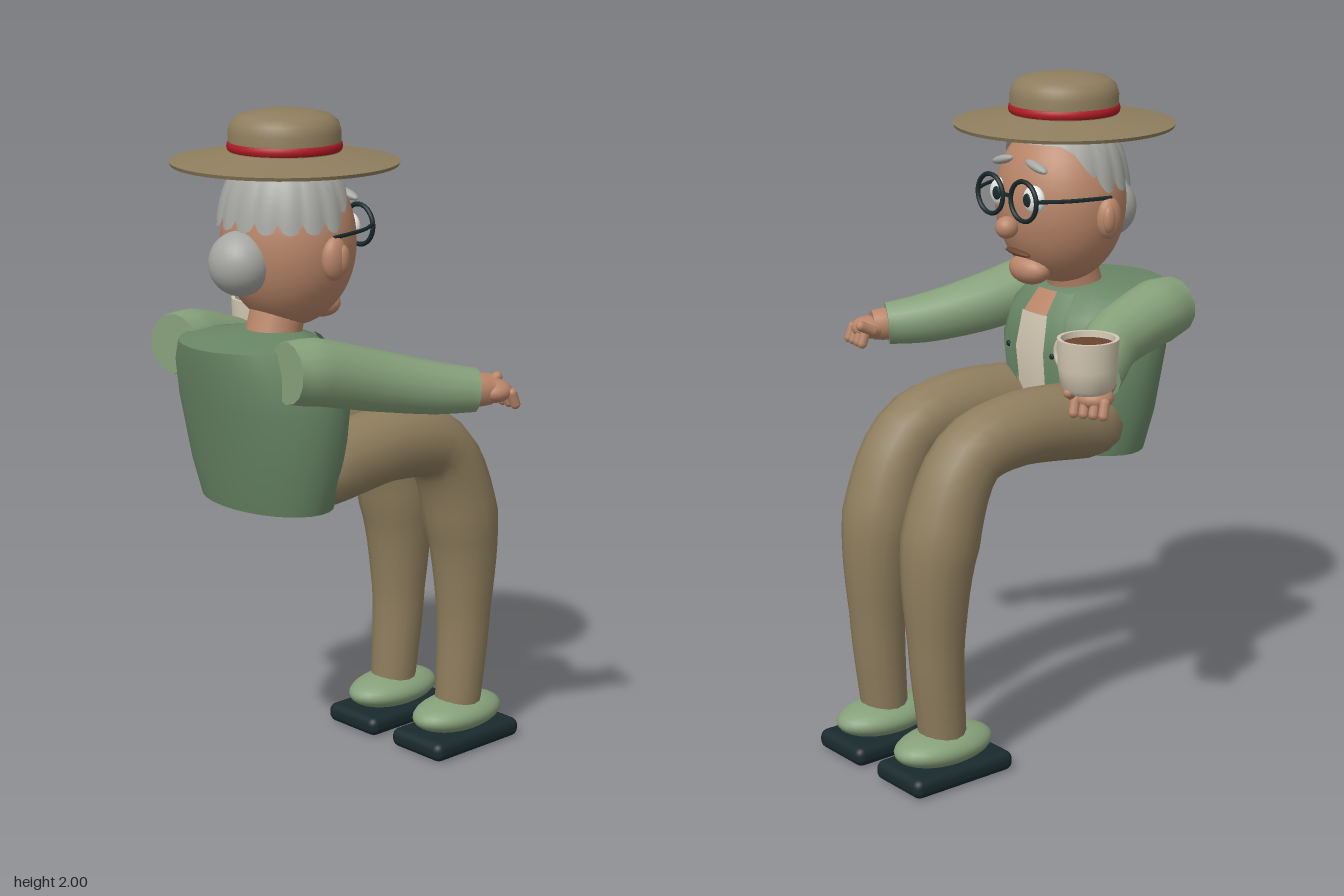
import * as THREE from 'three';
import { toCreasedNormals } from 'three/addons/utils/BufferGeometryUtils.js';
import { RoundedBoxGeometry } from 'three/addons/geometries/RoundedBoxGeometry.js';

const CX = 0.017; // body centre line

function mat(name, color, side = THREE.FrontSide) {
  const m = new THREE.MeshStandardMaterial({ color, side });
  m.name = name;
  return m;
}
const M = {
  tan: mat('tanCloth', 0x8f7e5e),
  sleeve: mat('lightGreen', 0x86a07a),
  jacket: mat('jacketGreen', 0x698766, THREE.DoubleSide),
  skin: mat('skin', 0xb98669),
  hair: mat('greyHair', 0xa6a6a2, THREE.DoubleSide),
  red: mat('redBand', 0xb01c24),
  dark: mat('darkRubber', 0x1a2a2d),
  cream: mat('cream', 0xd2c7b2, THREE.DoubleSide),
  brown: mat('coffeeBrown', 0x6b4530),
  white: mat('eyeWhite', 0xeeeeea),
};

function add(parent, name, geo, material, x = 0, y = 0, z = 0) {
  const m = new THREE.Mesh(geo, material);
  m.name = name;
  m.position.set(x, y, z);
  parent.add(m);
  return m;
}

function ball(parent, name, material, [x, y, z], [rx, ry, rz], seg = 20) {
  const m = add(parent, name, new THREE.SphereGeometry(1, seg, Math.ceil(seg * 0.7)), material, x, y, z);
  m.scale.set(rx, ry, rz);
  return m;
}

// Tapered capped tube through [x, y, z, radius] stations
function limb(pts, n = 26, sides = 14) {
  const curve = new THREE.CatmullRomCurve3(pts.map(p => new THREE.Vector3(p[0], p[1], p[2])));
  const geo = new THREE.TubeGeometry(curve, n, 1, sides);
  const pos = geo.attributes.position, nor = geo.attributes.normal;
  for (let k = 0; k < pos.count; k++) {
    const i = Math.floor(k / (sides + 1));
    const u = THREE.MathUtils.clamp((i - 1) / (n - 2), 0, 1);
    const t = curve.getUtoTmapping(u) * (pts.length - 1);
    const a = Math.min(Math.floor(t), pts.length - 2);
    const r = i === 0 || i === n ? 0 : THREE.MathUtils.lerp(pts[a][3], pts[a + 1][3], t - a);
    const p = curve.getPointAt(u);
    pos.setXYZ(k, p.x + nor.getX(k) * r, p.y + nor.getY(k) * r, p.z + nor.getZ(k) * r);
  }
  return toCreasedNormals(geo, 0.75);
}

// Skin over elliptical rings [y, centreZ, halfWidth, halfDepth] between two angles
function loft(rings, a0, a1, seg, grow = 0) {
  const pos = [], idx = [];
  for (const [y, cz, hw, hd] of rings)
    for (let j = 0; j <= seg; j++) {
      const a = a0 + (a1 - a0) * j / seg;
      pos.push(CX + Math.cos(a) * (hw + grow), y, cz + Math.sin(a) * (hd + grow));
    }
  for (let i = 0; i < rings.length - 1; i++)
    for (let j = 0; j < seg; j++) {
      const a = i * (seg + 1) + j, b = a + seg + 1;
      idx.push(a, b, a + 1, b, b + 1, a + 1);
    }
  const geo = new THREE.BufferGeometry();
  geo.setAttribute('position', new THREE.Float32BufferAttribute(pos, 3));
  geo.setIndex(idx);
  return toCreasedNormals(geo, 0.7);
}

const lathe = (pts, seg = 40) =>
  toCreasedNormals(new THREE.LatheGeometry(pts.map(p => new THREE.Vector2(p[0], p[1])), seg), 0.7);

// Palm with four curled fingers and a thumb; side sets where the thumb sits
function hand(parent, name, x, y, z, turn, side) {
  const g = new THREE.Group();
  g.name = name;
  g.position.set(x, y, z);
  g.rotation.y = turn;
  ball(g, 'palm', M.skin, [0, 0, 0], [0.055, 0.034, 0.055]);
  for (let i = 0; i < 4; i++) {
    const f = add(g, 'finger', new THREE.CapsuleGeometry(0.015, 0.035, 4, 8), M.skin, (i - 1.5) * 0.029, -0.02, -0.04);
    f.rotation.x = 0.35;
  }
  const t = add(g, 'thumb', new THREE.CapsuleGeometry(0.016, 0.045, 4, 8), M.skin, side * 0.055, 0.012, -0.035);
  t.rotation.x = -1.1;
  parent.add(g);
}

export function createModel() {
  const model = new THREE.Group();
  model.name = 'seatedFigure';

  // Legs, slippers and soles
  for (const s of [-1, 1]) {
    const x = CX + s * 0.144;
    add(model, 'trouserLeg', limb([
      [x, 0.995, 0.28, 0.075], [x, 0.99, 0.21, 0.117], [x, 1.01, -0.1, 0.11], [x, 0.96, -0.27, 0.104],
      [x, 0.73, -0.37, 0.115], [x, 0.42, -0.388, 0.083], [x, 0.12, -0.367, 0.07]], 30), M.tan);
    ball(model, 'slipper', M.sleeve, [x, 0.1, -0.365], [0.101, 0.054, 0.165], 28);
    add(model, 'sole', new RoundedBoxGeometry(0.215, 0.06, 0.36, 3, 0.026), M.dark, x, 0.03, -0.36);
  }
  ball(model, 'trouserSeat', M.tan, [CX, 0.975, 0.2], [0.2, 0.085, 0.1]);

  // Jacket body with shirt strip, lapels and buttons
  const body = [[0.885, 0.28, 0.235, 0.15], [1.0, 0.28, 0.265, 0.18], [1.19, 0.29, 0.285, 0.21],
    [1.3, 0.315, 0.255, 0.215], [1.365, 0.345, 0.205, 0.195]];
  add(model, 'jacket', loft([[0.89, 0.28, 0.001, 0.001], ...body, [1.385, 0.3, 0.08, 0.08], [1.385, 0.3, 0.001, 0.001]],
    0, Math.PI * 2, 30), M.jacket);
  const F = -Math.PI / 2;
  add(model, 'shirt', loft([[0.873, 0.28, 0.23, 0.145], ...body.slice(0, 4)], F - 0.24, F + 0.24, 6, 0.004), M.cream);
  add(model, 'openCollar', loft(body.slice(3), F - 0.2, F + 0.2, 6, 0.005), M.skin);
  for (const s of [-1, 1]) {
    const e = F + s * 0.36;
    add(model, 'jacketEdge', loft(body, e - 0.13, e + 0.13, 4, 0.012), M.jacket);
    for (const y of [1.05, 1.19])
      ball(model, 'button', M.dark, [CX + s * 0.1, y, y > 1.1 ? 0.08 : 0.102], [0.009, 0.009, 0.006], 8);
  }

  // Sleeves, wrists and hands
  add(model, 'sleeve', limb([[0.262, 1.32, 0.42, 0.088], [0.275, 1.315, 0.35, 0.097], [0.33, 1.262, 0.13, 0.087],
    [0.4, 1.228, -0.03, 0.075], [0.452, 1.217, -0.125, 0.064]]), M.sleeve);
  add(model, 'sleeve', limb([[-0.228, 1.32, 0.42, 0.088], [-0.24, 1.315, 0.35, 0.097], [-0.272, 1.262, 0.15, 0.087],
    [-0.345, 1.228, 0.05, 0.075], [-0.415, 1.21, -0.025, 0.062]]), M.sleeve);
  add(model, 'wrist', limb([[0.435, 1.22, -0.09, 0.05], [0.455, 1.217, -0.14, 0.05], [0.468, 1.216, -0.17, 0.045]], 8), M.skin);
  add(model, 'wrist', limb([[-0.4, 1.21, 0, 0.046], [-0.43, 1.2, -0.04, 0.046], [-0.45, 1.19, -0.07, 0.04]], 8), M.skin);
  hand(model, 'openHand', 0.472, 1.21, -0.178, -0.15, -1);
  hand(model, 'mugHand', -0.465, 1.183, -0.085, 0.5, 1);

  // Mug of coffee
  const mug = new THREE.Group();
  mug.name = 'mug';
  mug.position.set(-0.448, 0, -0.095);
  add(mug, 'mugBody', lathe([[0, 1.2], [0.062, 1.2], [0.076, 1.215], [0.084, 1.27], [0.087, 1.352], [0.076, 1.352],
    [0.073, 1.32], [0, 1.32]], 32), M.cream);
  add(mug, 'coffee', new THREE.CylinderGeometry(0.074, 0.074, 0.006, 32), M.brown, 0, 1.332, 0);
  add(mug, 'mugHandle', new THREE.TorusGeometry(0.044, 0.01, 10, 24), M.cream, 0.09, 1.285, 0);
  model.add(mug);

  // Head and neck
  add(model, 'neck', limb([[CX, 1.31, 0.265, 0.088], [CX, 1.38, 0.25, 0.08], [CX, 1.48, 0.22, 0.08]], 8, 20), M.skin);
  ball(model, 'head', M.skin, [CX, 1.63, 0.195], [0.203, 0.245, 0.187], 36);
  ball(model, 'chin', M.skin, [CX, 1.437, 0.078], [0.075, 0.045, 0.05]);
  ball(model, 'nose', M.skin, [CX, 1.572, -0.008], [0.034, 0.033, 0.034]);
  const mouth = ball(model, 'mouth', M.brown, [CX, 1.492, 0.034], [0.055, 0.009, 0.016], 14);
  mouth.rotation.z = 0.06;

  // Hair cap: low with ragged locks behind, high over the forehead
  const cap = new THREE.SphereGeometry(1, 108, 14, 0, Math.PI * 2, 0, 1);
  const cp = cap.attributes.position;
  for (let k = 0; k < cp.count; k++) {
    const phi = Math.atan2(cp.getX(k), cp.getZ(k));
    const t = Math.acos(Math.min(1, cp.getY(k)));
    const back = THREE.MathUtils.smoothstep(Math.cos(phi), -0.75, 0.05);
    const lock = Math.abs(Math.sin(phi * 9));
    const th = t * (0.72 + back * (0.53 + 0.13 * Math.pow(lock, 0.5)));
    const r = Math.pow(Math.sin(th), 0.5) * (1 + 0.035 * back * t * lock);
    cp.setXYZ(k, Math.sin(phi) * r * 0.203, Math.cos(th) * 0.245, Math.cos(phi) * r * 0.194);
  }
  add(model, 'hairCap', toCreasedNormals(cap, 0.8), M.hair, CX, 1.63, 0.2);
  ball(model, 'hairBun', M.hair, [CX, 1.585, 0.375], [0.092, 0.092, 0.088], 28);

  // Ears, eyes, brows and spectacles
  for (const s of [-1, 1]) {
    ball(model, 'ear', M.skin, [CX + s * 0.205, 1.605, 0.205], [0.03, 0.062, 0.042]);
    ball(model, 'innerEar', M.skin, [CX + s * 0.224, 1.605, 0.19], [0.016, 0.04, 0.022], 12);
    const x = CX + s * 0.076;
    ball(model, 'eye', M.white, [x, 1.66, 0.032], [0.042, 0.042, 0.024]);
    ball(model, 'pupil', M.dark, [x - s * 0.006, 1.66, 0.011], [0.018, 0.02, 0.006], 14);
    const brow = ball(model, 'eyebrow', M.hair, [x, 1.755, 0.04], [0.048, 0.013, 0.017], 14);
    brow.rotation.z = -s * 0.25;
    add(model, 'lensRim', new THREE.TorusGeometry(0.058, 0.007, 8, 32), M.dark, x, 1.66, -0.008);
    add(model, 'templeArm', limb([[CX + s * 0.133, 1.667, -0.008, 0.006], [CX + s * 0.18, 1.667, 0.07, 0.006],
      [CX + s * 0.209, 1.665, 0.21, 0.006]], 12, 6), M.dark);
  }
  add(model, 'bridge', new THREE.BoxGeometry(0.04, 0.01, 0.01), M.dark, CX, 1.668, -0.008);

  // Brimmed hat with a band
  add(model, 'hat', lathe([[0, 1.855], [0.16, 1.85], [0.322, 1.848], [0.326, 1.858], [0.24, 1.872], [0.158, 1.885],
    [0.16, 1.94], [0.152, 1.968], [0.13, 1.986], [0.08, 1.997], [0, 2.0]], 48), M.tan, CX, 0, 0.207);
  const band = add(model, 'hatBand', new THREE.TorusGeometry(0.156, 0.008, 8, 48), M.red, CX, 1.9, 0.207);
  band.rotation.x = Math.PI / 2;
  band.scale.z = 1.8;
  return model;
}
